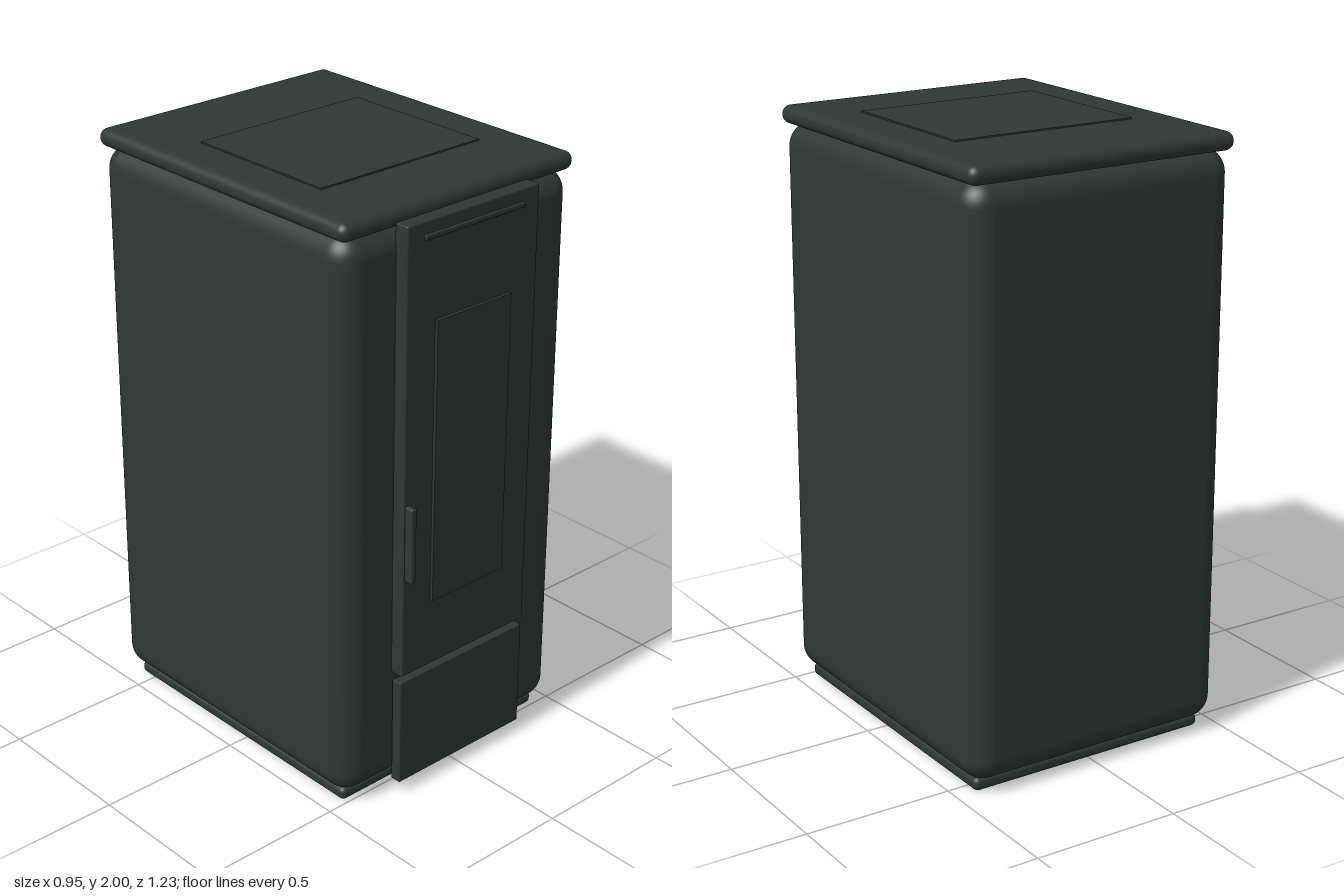
import * as THREE from 'three';
import { RoundedBoxGeometry } from 'three/addons/geometries/RoundedBoxGeometry.js';

export function createModel() {
  const model = new THREE.Group();
  model.name = 'stove';
  const darkMetal = new THREE.MeshStandardMaterial({ color: 0x2f3836 });
  darkMetal.name = 'dark metal';

  // Box given by its min and max corners, with an optional edge radius
  function block(name, [x0, y0, z0], [x1, y1, z1], radius = 0, segments = 4) {
    const size = [x1 - x0, y1 - y0, z1 - z0];
    const geometry = radius
      ? new RoundedBoxGeometry(...size, segments, radius)
      : new THREE.BoxGeometry(...size);
    const mesh = new THREE.Mesh(geometry, darkMetal);
    mesh.name = name;
    mesh.position.set((x0 + x1) / 2, (y0 + y1) / 2, (z0 + z1) / 2);
    model.add(mesh);
  }

  // Casing
  block('plinth', [-0.435, 0, -0.56], [0.435, 0.045, 0.49], 0.018);
  block('body', [-0.475, 0.04, -0.613], [0.475, 1.945, 0.537], 0.08, 8);
  block('topSlab', [-0.477, 1.935, -0.615], [0.477, 1.995, 0.537], 0.029, 6);
  block('topPlate', [-0.325, 1.99, -0.283], [0.325, 2, 0.272]);

  // Front panels
  block('door', [-0.272, 0.445, 0.53], [0.272, 1.955, 0.583], 0.006, 2);
  block('lowerPanel', [-0.272, 0.045, 0.541], [0.272, 0.42, 0.579], 0.004, 2);
  block('panelMount', [-0.24, 0.14, 0.53], [0.24, 0.4, 0.545]);

  // Door fittings
  block('window', [-0.154, 0.682, 0.58], [0.154, 1.635, 0.594]);
  block('ventStrip', [-0.205, 1.898, 0.58], [0.205, 1.914, 0.593], 0.003, 2);
  block('handle', [-0.266, 0.79, 0.575], [-0.244, 1.05, 0.613], 0.006, 3);

  return model;
}
